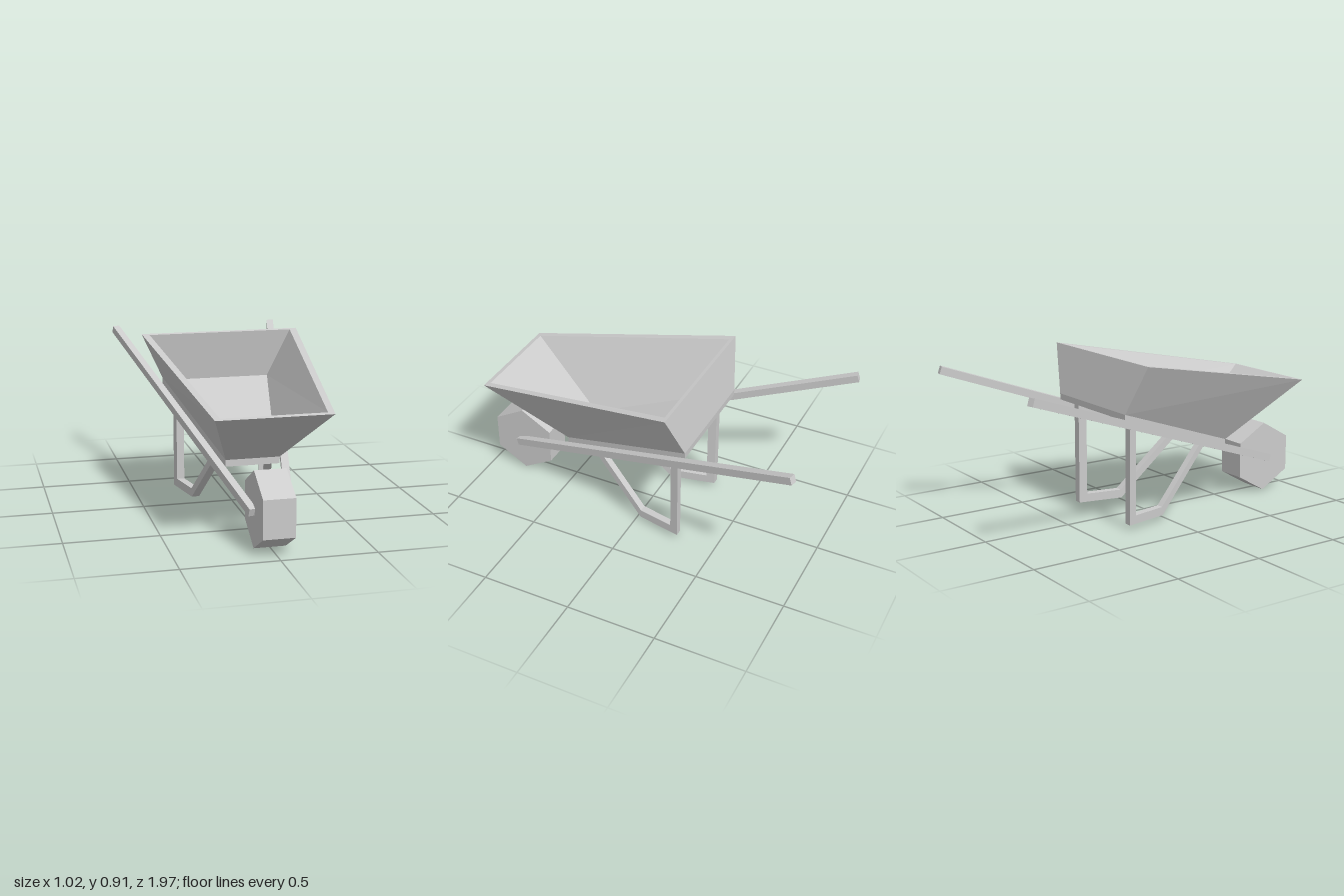
import * as THREE from 'three';

const material = new THREE.MeshStandardMaterial({ color: 0xcccccc, flatShading: true });

function part(name, geometry, parent) {
  const mesh = new THREE.Mesh(geometry, material);
  mesh.name = name;
  parent.add(mesh);
  return mesh;
}

// Skin a stack of four-cornered rings, closed at both ends.
// Ring: front half-width, y, z, then back half-width, y, z.
function loft(rings) {
  const positions = [];
  const index = [];
  for (const [fw, fy, fz, bw, by, bz] of rings) {
    positions.push(fw, fy, fz, bw, by, bz, -bw, by, bz, -fw, fy, fz);
  }
  for (let r = 0; r < rings.length - 1; r++) {
    for (let i = 0; i < 4; i++) {
      const a = r * 4 + i, b = r * 4 + (i + 1) % 4;
      index.push(a, b, b + 4, a, b + 4, a + 4);
    }
  }
  const t = (rings.length - 1) * 4;
  index.push(0, 2, 1, 0, 3, 2, t, t + 1, t + 2, t, t + 2, t + 3);
  const indexed = new THREE.BufferGeometry();
  indexed.setAttribute('position', new THREE.Float32BufferAttribute(positions, 3));
  indexed.setIndex(index);
  const geometry = indexed.toNonIndexed();
  geometry.computeVertexNormals();
  return geometry;
}

// Bent leg: upright post, foot bar and diagonal brace, as [z, y] outline
const LEG_OUTLINE = [
  [-0.28, 0.575], [-0.28, 0], [-0.03, 0], [0.325, 0.355],
  [0.29, 0.37], [-0.035, 0.047], [-0.235, 0.047], [-0.235, 0.56],
];

function legGeometry(side) {
  const width = 0.042;
  const shape = new THREE.Shape(LEG_OUTLINE.map(([z, y]) => new THREE.Vector2(-z, y)));
  const geometry = new THREE.ExtrudeGeometry(shape, { depth: width, bevelEnabled: false });
  geometry.translate(0, 0, -width / 2).rotateY(Math.PI / 2);
  // Splay outward toward the back, alongside the handle
  const p = geometry.attributes.position;
  for (let i = 0; i < p.count; i++) {
    p.setX(i, p.getX(i) + side * (0.195 - 0.204 * p.getZ(i)));
  }
  geometry.computeVertexNormals();
  return geometry;
}

export function createModel() {
  const model = new THREE.Group();
  model.name = 'wheelbarrow';

  // Tray: base slab, flared outer walls, rim, inner walls and floor
  part('tray', loft([
    [0.145, 0.305, 0.46, 0.322, 0.588, -0.342],
    [0.145, 0.341, 0.46, 0.322, 0.622, -0.342],
    [0.30, 0.66, 0.89, 0.447, 0.885, -0.285],
    [0.27, 0.665, 0.865, 0.405, 0.881, -0.265],
    [0.13, 0.352, 0.43, 0.285, 0.612, -0.31],
  ]), model);

  // Six-sided wheel with flat top and bottom
  const wheel = part('wheel', new THREE.CylinderGeometry(0.202, 0.202, 0.167, 6), model);
  wheel.geometry.rotateZ(Math.PI / 2);
  wheel.geometry.rotateX(Math.PI / 2);
  wheel.position.set(0, 0.175, 0.798);

  for (const side of [1, -1]) {
    const label = side > 0 ? 'left' : 'right';

    // Long handle running from the wheel up to the grip
    const front = new THREE.Vector3(side * 0.095, 0.168, 0.82);
    const back = new THREE.Vector3(side * 0.487, 0.80, -0.988);
    const handle = part(label + 'Handle',
      new THREE.BoxGeometry(0.04, 0.042, front.distanceTo(back)), model);
    handle.position.copy(front).lerp(back, 0.5);
    handle.lookAt(front);

    part(label + 'Leg', legGeometry(side), model);
  }
  return model;
}
